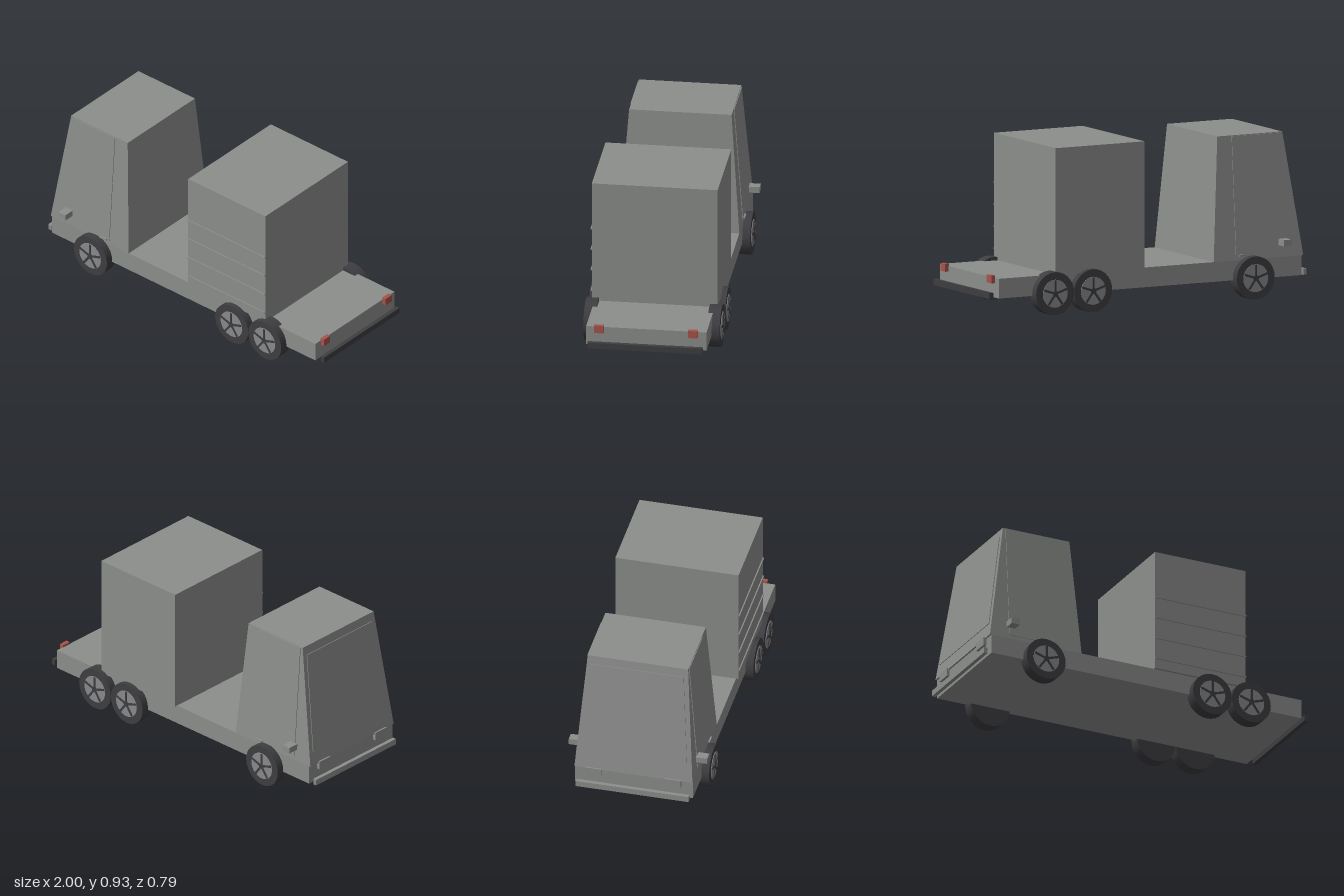
import * as THREE from 'three';

const mat = (name, color) => {
  const m = new THREE.MeshStandardMaterial({ color });
  m.name = name;
  return m;
};

export function createModel() {
  const grey = mat('bodyGrey', 0x8c8e8c);
  const dark = mat('tyreDark', 0x3e3d41);
  const rimGrey = mat('rimGrey', 0x88898b);
  const red = mat('tailRed', 0xa8544c);

  const truck = new THREE.Group();
  truck.name = 'truck';

  const add = (name, geo, material, parent = truck) => {
    const mesh = new THREE.Mesh(geo, material);
    mesh.name = name;
    parent.add(mesh);
    return mesh;
  };
  // Box given by its min and max on each axis
  const boxGeo = (x0, x1, y0, y1, z0, z1) =>
    new THREE.BoxGeometry(x1 - x0, y1 - y0, z1 - z0)
      .translate((x0 + x1) / 2, (y0 + y1) / 2, (z0 + z1) / 2);
  // Move each vertex by a rule and restore flat normals
  const reshape = (geo, rule) => {
    const p = geo.attributes.position;
    const v = new THREE.Vector3();
    for (let i = 0; i < p.count; i++) {
      v.fromBufferAttribute(p, i);
      rule(v);
      p.setXYZ(i, v.x, v.y, v.z);
    }
    geo.computeVertexNormals();
    return geo;
  };

  // Flat bed
  add('chassis', boxGeo(-0.96, 0.95, 0.11, 0.22, -0.335, 0.335), grey);

  // Tapered cab: its walls lean in with height
  const rise = y => (y - 0.22) / 0.69;
  const frontX = y => -0.97 + 0.105 * rise(y);
  const backX = y => -0.405 - 0.05 * rise(y);
  const sideZ = y => 0.335 - 0.05 * rise(y);
  add('cab', reshape(boxGeo(-1, 1, 0.22, 0.91, -1, 1), v => {
    v.x = v.x < 0 ? frontX(v.y) : backX(v.y);
    v.z = Math.sign(v.z) * sideZ(v.y);
  }), grey);

  // Windscreen panel lying on the sloping nose
  add('windscreen', reshape(boxGeo(-0.004, 0.004, 0.3, 0.86, -0.3, 0.3), v => {
    v.x += frontX(v.y);
    v.z = Math.sign(v.z) * (sideZ(v.y) - 0.027);
  }), grey);

  // Load box with ribs on one side
  add('cargoBox', boxGeo(0.04, 0.6, 0.22, 0.925, -0.35, 0.35), grey);
  for (const y of [0.28, 0.403, 0.527, 0.65]) {
    add('cargoRib', boxGeo(0.04, 0.6, y - 0.004, y + 0.004, 0.348, 0.357), grey);
  }

  // Bumpers
  add('frontBumper', boxGeo(-1, -0.978, 0.108, 0.142, -0.32, 0.32), grey);
  add('rearBumper', boxGeo(0.977, 1, 0.108, 0.142, -0.32, 0.32), dark);

  // Wheel built along z with its outer face towards +z
  const makeWheel = () => {
    const wheel = new THREE.Group();
    wheel.name = 'wheel';
    const disc = (r, z0, z1) => new THREE.CylinderGeometry(r, r, z1 - z0, 28)
      .rotateX(Math.PI / 2).translate(0, 0, (z0 + z1) / 2);
    add('tyre', disc(0.12, -0.035, 0.035), dark, wheel);
    add('rim', disc(0.078, 0.03, 0.038), rimGrey, wheel);
    add('hub', disc(0.016, 0.036, 0.043), dark, wheel);
    for (let i = 0; i < 5; i++) {
      const spoke = boxGeo(-0.006, 0.006, 0.01, 0.075, 0.036, 0.042);
      add('spoke', spoke.rotateZ(i * Math.PI * 2 / 5), dark, wheel);
    }
    return wheel;
  };

  // Parts repeated on both sides
  for (const s of [1, -1]) {
    const pair = (name, x0, x1, y0, y1, z0, z1, material) =>
      add(name, boxGeo(x0, x1, y0, y1, Math.min(s * z0, s * z1), Math.max(s * z0, s * z1)), material);

    for (const x of [-0.645, 0.38, 0.62]) {
      const wheel = makeWheel();
      wheel.position.set(x, 0.12, s * 0.344);
      if (s < 0) wheel.rotation.y = Math.PI;
      truck.add(wheel);
    }
    add('door', reshape(boxGeo(-0.85, -0.545, 0.24, 0.905, -0.004, 0.004),
      v => { v.z += s * sideZ(v.y); }), grey);
    pair('doorHandle', -0.61, -0.56, 0.24, 0.25, 0.33, 0.346, grey);
    pair('mirror', -0.865, -0.815, 0.286, 0.321, 0.325, 0.393, grey);
    pair('headlight', -0.978, -0.958, 0.18, 0.227, 0.18, 0.27, grey);
    pair('tailLight', 0.948, 0.972, 0.19, 0.233, 0.235, 0.288, red);
  }

  return truck;
}
